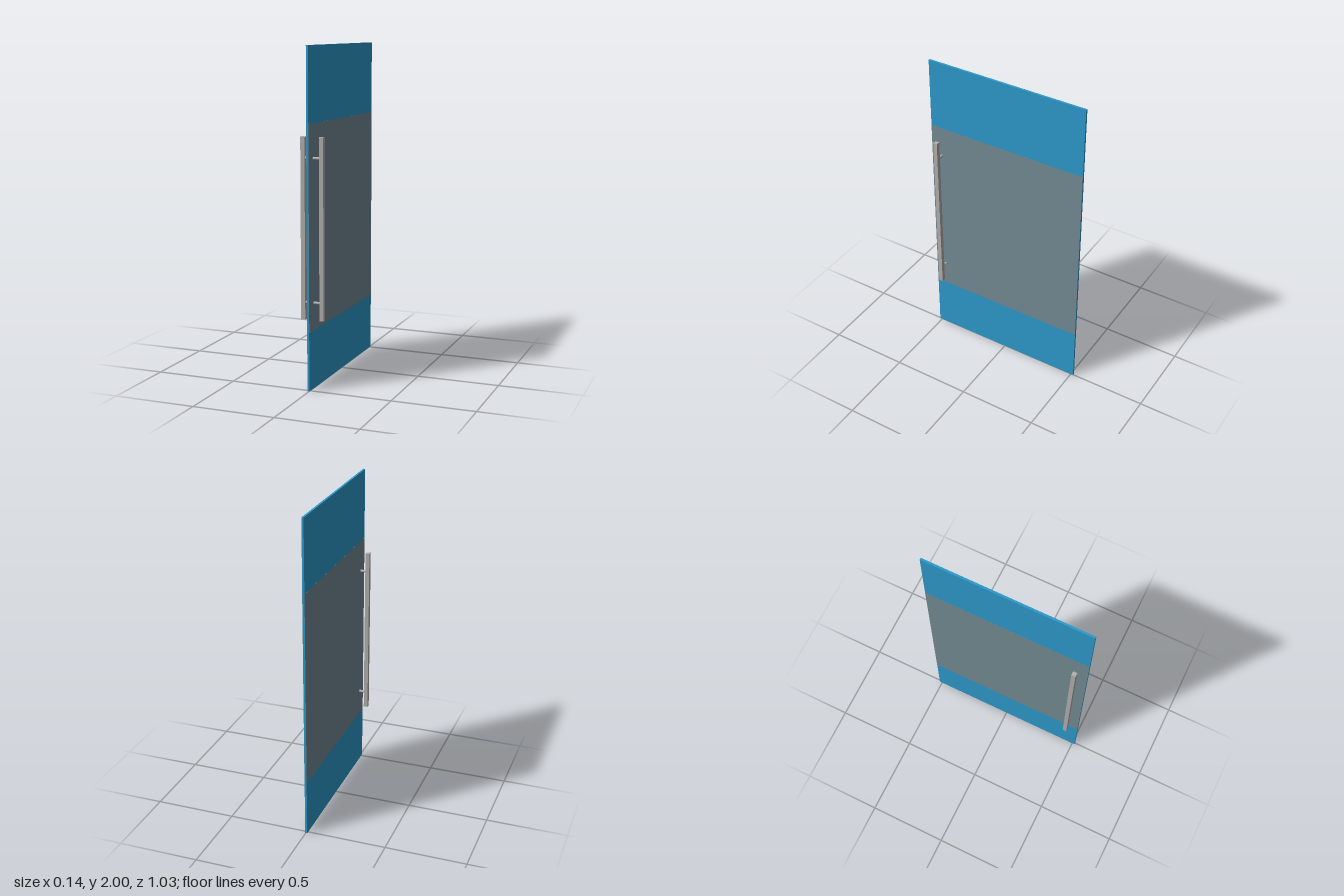
import * as THREE from 'three';

export function createModel() {
  const model = new THREE.Group();
  model.name = 'glassDoor';

  const material = (name, color) => {
    const m = new THREE.MeshStandardMaterial({ color });
    m.name = name;
    return m;
  };
  const blueGlass = material('blueGlass', 0x2d9acb);
  const frostedGlass = material('frostedGlass', 0x748c94);
  const steel = material('steel', 0xb3b0af);

  const add = (name, geometry, mat, x, y, z) => {
    const mesh = new THREE.Mesh(geometry, mat);
    mesh.name = name;
    mesh.position.set(x, y, z);
    model.add(mesh);
    return mesh;
  };

  // Door leaf, set slightly off the handle centre
  const paneX = -0.003, paneT = 0.013, width = 1.034;
  add('glassPane', new THREE.BoxGeometry(paneT, 2, width), blueGlass, paneX, 1, 0);

  // Frosted band on both faces
  const bandLow = 0.352, bandHigh = 1.558;
  for (const side of [-1, 1]) {
    add(side > 0 ? 'frostedBandLeft' : 'frostedBandRight',
      new THREE.BoxGeometry(0.001, bandHigh - bandLow, width), frostedGlass,
      paneX + side * paneT / 2, (bandLow + bandHigh) / 2, 0);
  }

  // Square pull bars, one on each face
  const handleZ = 0.449, barX = 0.0575, barSize = 0.026;
  for (const side of [-1, 1]) {
    add(side > 0 ? 'pullBarLeft' : 'pullBarRight',
      new THREE.BoxGeometry(barSize, 1.07, barSize), steel, side * barX, 0.948, handleZ);
  }

  // Round standoffs joining the bars through the glass
  for (const [name, y] of [['upperStandoff', 1.36], ['lowerStandoff', 0.516]]) {
    const rod = add(name, new THREE.CylinderGeometry(0.008, 0.008, 2 * barX, 24), steel, 0, y, handleZ);
    rod.rotation.z = Math.PI / 2;
  }

  return model;
}
